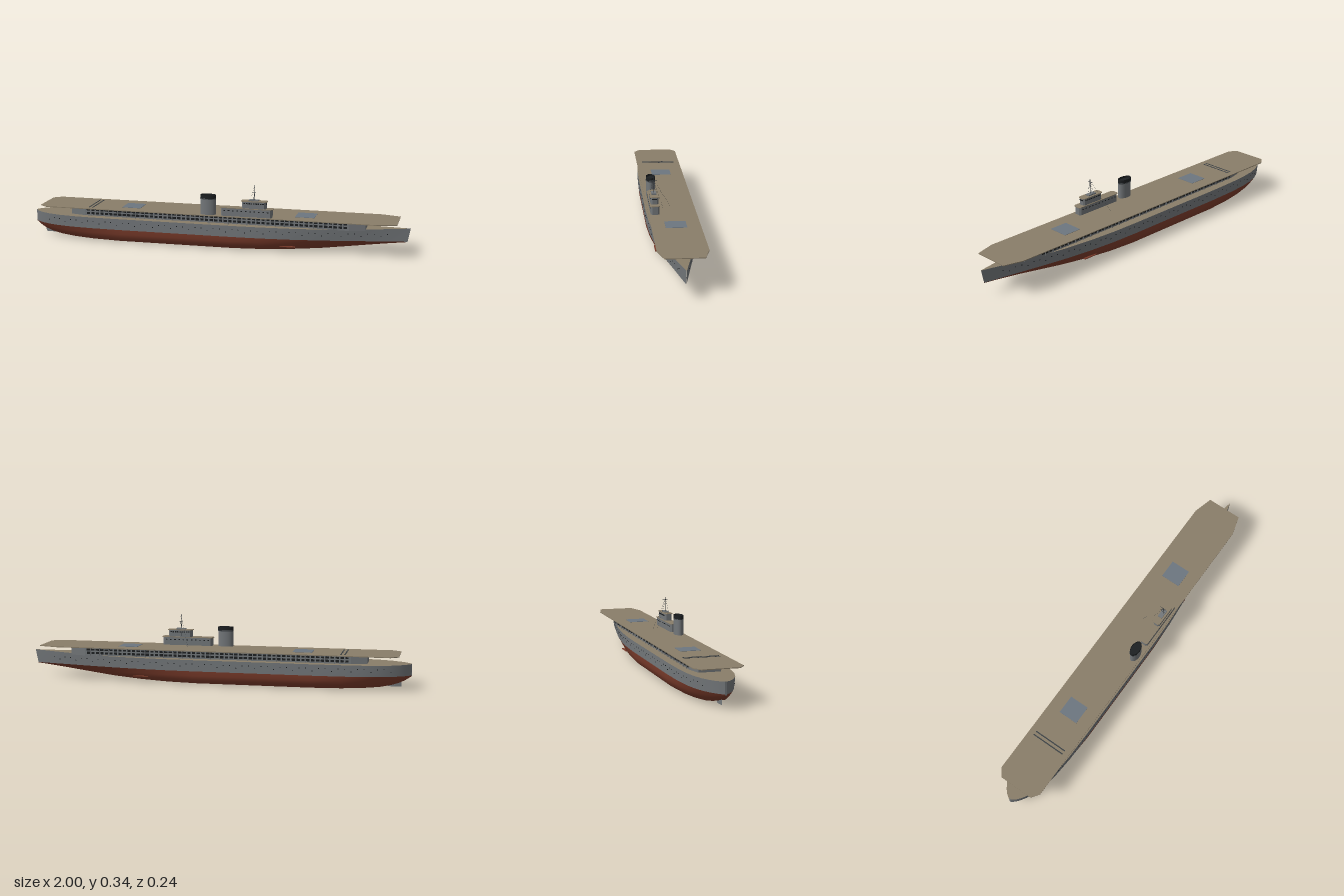
import * as THREE from 'three';
import { mergeGeometries } from 'three/addons/utils/BufferGeometryUtils.js';

const material = (name, color, side = THREE.FrontSide) => {
  const m = new THREE.MeshStandardMaterial({ color, side });
  m.name = name;
  return m;
};

// Hull stations: x, half width at sheer, half width at waterline, keel height, V shape
const STATIONS = [
  [-1, 0.004, 0.003, 0.066, 0.5], [-0.985, 0.026, 0.022, 0.056, 0.5],
  [-0.965, 0.044, 0.038, 0.044, 0.5], [-0.94, 0.06, 0.054, 0.033, 0.45],
  [-0.9, 0.08, 0.074, 0.021, 0.4], [-0.84, 0.098, 0.093, 0.011, 0.3],
  [-0.76, 0.11, 0.107, 0.005, 0.2], [-0.65, 0.117, 0.116, 0.001, 0.1],
  [-0.5, 0.12, 0.12, 0, 0], [-0.2, 0.12, 0.12, 0, 0], [0.1, 0.12, 0.12, 0, 0],
  [0.25, 0.117, 0.116, 0.002, 0.08], [0.4, 0.107, 0.104, 0.008, 0.2],
  [0.55, 0.089, 0.084, 0.018, 0.38], [0.7, 0.063, 0.057, 0.034, 0.58],
  [0.8, 0.043, 0.037, 0.046, 0.72], [0.9, 0.022, 0.018, 0.058, 0.85],
  [1, 0.001, 0.001, 0.068, 1],
];
const WATER = 0.07;
const BILGE = [[0, 0.6], [0.05, 0.73], [0.14, 0.82], [0.35, 0.925], [0.65, 0.985], [1, 1]];
const sheer = (x) => 0.128 + 0.011 * Math.pow(Math.max(0, (x - 0.55) / 0.45), 1.5);
const rake = (x, y) => (x > 0.9 ? x - (x - 0.9) * 1.4 * (0.139 - Math.max(y, WATER)) / 0.7 : x);

// Skin through cross-sections that run from +z to -z
function loft(sections) {
  const n = sections[0].length, index = [];
  for (let i = 0; i < sections.length - 1; i++) {
    for (let j = 0; j < n - 1; j++) {
      const a = i * n + j, b = a + 1, c = a + n, d = c + 1;
      index.push(a, b, c, b, d, c);
    }
  }
  const g = new THREE.BufferGeometry();
  g.setAttribute('position', new THREE.Float32BufferAttribute(sections.flat(2), 3));
  g.setIndex(index);
  g.computeVertexNormals();
  return g;
}

// Half width of the topsides at a given place
function halfWidth(x, y) {
  let i = 0;
  while (i < STATIONS.length - 2 && STATIONS[i + 1][0] < x) i++;
  const a = STATIONS[i], b = STATIONS[i + 1], t = (x - a[0]) / (b[0] - a[0]);
  const top = a[1] + (b[1] - a[1]) * t, low = a[2] + (b[2] - a[2]) * t;
  return low + (top - low) * (y - WATER) / (sheer(x) - WATER);
}

// Upright slab from a plan outline of [x, z] points
function slab(plan, y, h) {
  const shape = new THREE.Shape(plan.map(([x, z]) => new THREE.Vector2(x, -z)));
  return new THREE.ExtrudeGeometry(shape, { depth: h, bevelEnabled: false })
    .rotateX(-Math.PI / 2).translate(0, y, 0);
}
const box = (w, h, d, x, y, z) => new THREE.BoxGeometry(w, h, d).translate(x, y, z);

// Plan of a block with chamfered corners
const chamfered = (x0, x1, z0, z1, cx, cz) => [
  [x0, z0 + cz], [x0 + cx, z0], [x1 - cx, z0], [x1, z0 + cz],
  [x1, z1 - cz], [x1 - cx, z1], [x0 + cx, z1], [x0, z1 - cz]];

function rod(from, to, r, sides = 6) {
  const a = new THREE.Vector3(...from), b = new THREE.Vector3(...to);
  return new THREE.TubeGeometry(new THREE.LineCurve3(a, b), 1, r, sides, false);
}

export function createModel() {
  const group = new THREE.Group();
  group.name = 'carrierShip';
  const grey = material('hullGrey', 0x73777a);
  const red = material('bottomRed', 0x7c3c2b);
  const wood = material('deckTan', 0x8a7e69);
  const lift = material('liftGrey', 0x6d7680);
  const black = material('black', 0x1d2022, THREE.DoubleSide);
  const dark = material('darkGrey', 0x3c4145);
  const add = (name, geometry, mat) => {
    const mesh = new THREE.Mesh(geometry, mat);
    mesh.name = name;
    group.add(mesh);
  };

  // Lower hull, topsides and weather deck
  const lower = [], upper = [], weather = [];
  for (const [x, w, ww, keel, v] of STATIONS) {
    const half = BILGE.map(([f, g]) => {
      const y = keel + (WATER - keel) * f;
      return [rake(x, y), y, ww * (g + (f - g) * v)];
    });
    const port = half.map(([a, y, z]) => [a, y, -z]);
    lower.push([...half.slice().reverse(), [rake(x, keel), keel, 0], ...port]);
    const y = sheer(x);
    upper.push([[rake(x, y), y, w], [rake(x, WATER), WATER, ww]]);
    weather.push([[rake(x, y), y, -w], [rake(x, y), y, w]]);
  }
  add('lowerHull', loft(lower), red);
  const mirrored = upper.map((s) => s.map(([x, y, z]) => [x, y, -z]).reverse());
  add('topsides', mergeGeometries([loft(upper), loft(mirrored)]), grey);
  add('weatherDeck', loft(weather), wood);
  const transom = STATIONS[0];
  add('sternPost', box(0.004, sheer(-1) - 0.066, transom[1] * 2, -0.998, (sheer(-1) + 0.066) / 2, 0), grey);

  // Rudder and small bottom fins
  add('rudder', slab([[-0.95, 0], [-0.915, -0.004], [-0.88, 0], [-0.915, 0.004]], 0.01, 0.035), grey);
  add('bottomFins', mergeGeometries([-1, 1].map((s) => box(0.08, 0.004, 0.012, 0.39, 0.03, s * 0.091))), red);

  // Portholes
  const ports = [];
  for (let i = 0; i < 56; i++) {
    const x = -0.9 + i * 0.0325, y = i % 3 ? 0.108 : 0.095;
    for (const s of [-1, 1]) ports.push(box(0.005, 0.004, 0.003, x, y, s * halfWidth(x, y)));
  }
  add('portholes', mergeGeometries(ports), black);

  // Hangar with two rows of openings
  add('hangar', slab(chamfered(-0.78, 0.78, -0.073, 0.073, 0.08, 0.018), 0.126, 0.047), grey);
  const openings = [], pillars = [], brackets = [];
  for (let i = 0; i < 56; i++) {
    const x = -0.68 + i * 1.36 / 55;
    for (const s of [-1, 1]) {
      openings.push(box(0.017, 0.011, 0.003, x, 0.141, s * 0.0733));
      openings.push(box(0.017, 0.009, 0.003, x, 0.158, s * 0.0733));
      if (i % 2 === 0) {
        pillars.push(box(0.004, 0.046, 0.004, x + 0.0125, 0.15, s * 0.076));
        brackets.push(rod([x, 0.161, s * 0.075], [x, 0.171, s * 0.114], 0.0012, 4));
      }
    }
  }
  add('hangarOpenings', mergeGeometries(openings), black);
  add('hangarPillars', mergeGeometries(pillars), grey);
  add('deckBrackets', mergeGeometries(brackets), dark);

  // Flight deck, lifts and arrester wires
  add('flightDeck', slab([[-0.94, -0.09], [-0.9, -0.12], [0.84, -0.12], [0.94, -0.092],
    [0.94, 0.092], [0.84, 0.12], [-0.9, 0.12], [-0.94, 0.09]], 0.172, 0.004), wood);
  add('lifts', mergeGeometries([-0.45, 0.47].map((x) => box(0.1, 0.002, 0.104, x, 0.1765, 0))), lift);
  add('arresterWires', mergeGeometries([-0.67, -0.65].map((x) => box(0.006, 0.002, 0.18, x, 0.1765, 0))), dark);

  // Funnel with dark open top
  const funnel = (r0, r1, y, h, open) => new THREE.CylinderGeometry(r1, r0, h, 32, 1, open)
    .scale(1, 1, 0.58).translate(-0.025, y + h / 2, 0.087);
  add('funnel', funnel(0.04, 0.04, 0.175, 0.085, false), grey);
  add('funnelTop', funnel(0.0405, 0.0405, 0.26, 0.018, true), black);
  add('funnelMouth', funnel(0.039, 0.039, 0.262, 0.005, false), black);
  add('funnelBand', funnel(0.042, 0.042, 0.256, 0.003, false), dark);

  // Island in two tiers with tan roofs
  add('island', mergeGeometries([
    slab(chamfered(0.045, 0.31, 0.066, 0.109, 0.008, 0.008), 0.175, 0.042),
    slab(chamfered(0.155, 0.28, 0.069, 0.107, 0.008, 0.008), 0.218, 0.038)]), grey);
  add('islandRoofs', mergeGeometries([
    slab(chamfered(0.04, 0.315, 0.064, 0.112, 0.008, 0.008), 0.217, 0.003),
    slab(chamfered(0.15, 0.285, 0.066, 0.11, 0.008, 0.008), 0.255, 0.003)]), wood);
  add('lookout', box(0.05, 0.006, 0.024, 0.215, 0.261, 0.088), grey);
  const panes = [];
  for (let i = 0; i < 9; i++) {
    for (const z of [0.069, 0.107]) panes.push(box(0.008, 0.006, 0.002, 0.17 + i * 0.012, 0.246, z));
    if (i < 5) panes.push(box(0.002, 0.006, 0.004, 0.28, 0.246, 0.078 + i * 0.005));
  }
  for (let i = 0; i < 11; i++) {
    for (const z of [0.066, 0.109]) panes.push(box(0.008, 0.005, 0.002, 0.065 + i * 0.0225, 0.205, z));
  }
  add('islandWindows', mergeGeometries(panes), black);

  // Mast, yard and rigging
  const top = [0.217, 0.332, 0.09];
  add('mast', mergeGeometries([
    rod([0.217, 0.255, 0.09], [0.217, 0.34, 0.09], 0.0016),
    rod([0.217, 0.327, 0.072], [0.217, 0.327, 0.108], 0.001),
    rod([0.207, 0.3, 0.09], [0.227, 0.3, 0.09], 0.001)]), dark);
  add('rigging', mergeGeometries([[0.16, 0.176, 0.002], [0.2, 0.176, 0.04],
    [0.217, 0.258, 0.073], [0.217, 0.258, 0.107]].map((p) => rod(top, p, 0.0004, 3))), dark);

  // Supports below the island
  add('islandSupports', mergeGeometries([-0.02, 0.08, 0.18, 0.28].map((x) =>
    box(0.004, 0.046, 0.004, x, 0.15, 0.09))), grey);
  return group;
}
